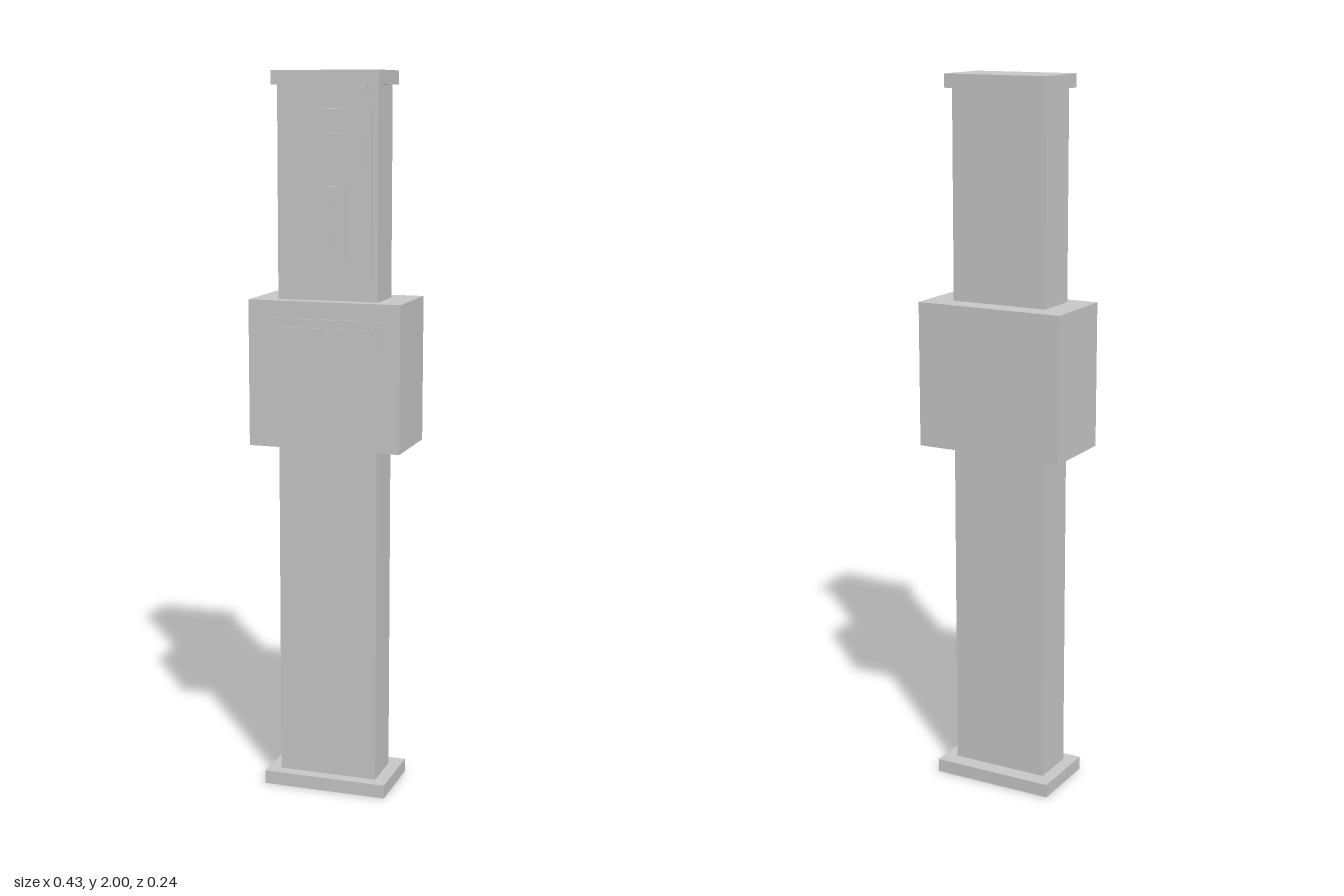
import * as THREE from 'three';

export function createModel() {
  const group = new THREE.Group();
  const grey = new THREE.MeshStandardMaterial({ color: 0xc8c8c8 });
  grey.name = 'light grey metal';

  // Box given by half width and its extents in y and z, centred on x = 0
  function block(name, halfWidth, y0, y1, z0, z1) {
    const mesh = new THREE.Mesh(new THREE.BoxGeometry(halfWidth * 2, y1 - y0, z1 - z0), grey);
    mesh.name = name;
    mesh.position.set(0, (y0 + y1) / 2, (z0 + z1) / 2);
    group.add(mesh);
  }

  // Pillar: foot plate, shaft, overhanging cap with a front lip
  block('footPlate', 0.177, 0, 0.038, -0.102, 0.108);
  block('post', 0.141, 0.038, 1.963, -0.056, 0.074);
  block('cap', 0.151, 1.963, 2, -0.08, 0.097);
  block('capLip', 0.115, 1.947, 1.963, 0.074, 0.097);

  // Box around the pillar with a slot surround on its front
  block('letterBox', 0.215, 0.987, 1.391, -0.119, 0.109);
  block('slotFrame', 0.165, 1.254, 1.344, 0.109, 0.114);
  block('slotFlap', 0.138, 1.282, 1.321, 0.114, 0.118);

  // Front panel with name plate and call unit
  block('panel', 0.126, 1.457, 1.901, 0.074, 0.084);
  block('namePlate', 0.1, 1.75, 1.839, 0.084, 0.091);
  block('callUnit', 0.057, 1.508, 1.698, 0.084, 0.093);
  block('callButton', 0.022, 1.641, 1.67, 0.093, 0.097);
  block('speaker', 0.025, 1.533, 1.583, 0.093, 0.096);

  return group;
}
